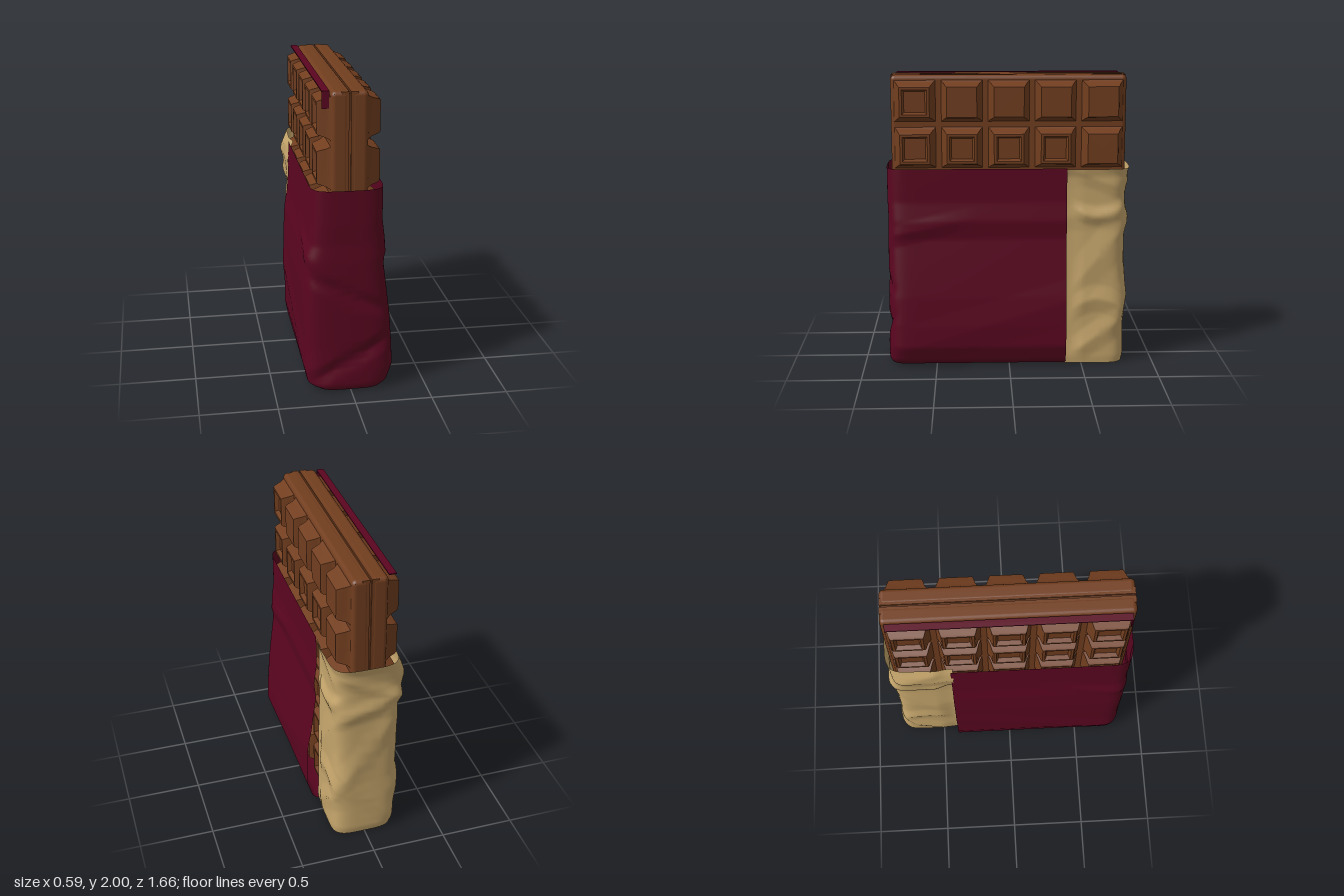
import * as THREE from 'three';
import { toCreasedNormals } from 'three/addons/utils/BufferGeometryUtils.js';
import { RoundedBoxGeometry } from 'three/addons/geometries/RoundedBoxGeometry.js';

const mat = (name, color, side = THREE.FrontSide) => {
  const m = new THREE.MeshStandardMaterial({ color, side });
  m.name = name;
  return m;
};

// Linear lookup in rows of [y, left, right, end], sorted by y
function lookup(rows, y) {
  let i = 0;
  while (i < rows.length - 2 && y > rows[i + 1][0]) i++;
  const a = rows[i], b = rows[i + 1];
  const t = THREE.MathUtils.clamp((y - a[0]) / (b[0] - a[0]), 0, 1);
  return a.map((v, k) => v + (b[k] - v) * t);
}

// A U-shaped pocket: two straight sides joined by a rounded end, closed below.
// The sides start at zStart, the curve starts at zCurve.
function pocket(rows, { zStart, zCurve, power, top, bottom, wrinkle }) {
  const nu = 96, nv = 80, side = 0.34;
  const geo = new THREE.PlaneGeometry(1, 1, nu, nv);
  const pos = geo.attributes.position, uv = geo.attributes.uv;
  for (let i = 0; i < pos.count; i++) {
    const u = uv.getX(i), row = Math.round(uv.getY(i) * nv);
    const y = bottom + (top - bottom) * Math.max(0, row - 1) / (nv - 1);
    const [, left, right, end] = lookup(rows, y);
    const mid = (left + right) / 2, half = (right - left) / 2;
    let sx, z;
    if (u < side || u > 1 - side) {
      sx = u < 0.5 ? -1 : 1;
      z = zStart + (zCurve - zStart) * Math.min(u, 1 - u) / side;
    } else {
      const a = Math.PI * (u - side) / (1 - 2 * side);
      const c = -Math.cos(a);
      sx = Math.sign(c) * Math.abs(c) ** power;
      z = zCurve + (end - zCurve) * Math.max(0, Math.sin(a)) ** power;
    }
    const [dx, dz] = wrinkle(sx, y, z);
    const x = row === 0 ? 0 : mid + sx * (half + dx);
    pos.setXYZ(i, x, y, z + dz);
  }
  return toCreasedNormals(geo, 0.7);
}

// Sharp-edged fold centred on zero
const fold = (d, width) => Math.max(0, 1 - Math.abs(d) / width);

export function createModel() {
  const group = new THREE.Group();
  const chocolate = mat('chocolate', 0x723e1f);
  const paper = mat('maroon paper', 0x5b0520, THREE.DoubleSide);
  const foil = mat('gold foil', 0xc6a66c, THREE.DoubleSide);

  const add = (name, geo, material, parent = group) => {
    const mesh = new THREE.Mesh(geo, material);
    mesh.name = name;
    parent.add(mesh);
    return mesh;
  };

  // Chocolate bar: two slabs, squared off along the thin seam between them
  const bar = new THREE.Group();
  bar.name = 'chocolateBar';
  bar.position.x = -0.01;
  group.add(bar);
  for (const s of [-1, 1]) {
    const slab = add('slab', new RoundedBoxGeometry(0.112, 1.95, 1.585, 3, 0.03), chocolate, bar);
    slab.position.set(s * 0.061, 1.022, 0);
    const seamEdge = add('seamEdge', new THREE.BoxGeometry(0.046, 1.946, 1.581), chocolate, bar);
    seamEdge.position.set(s * 0.029, 1.022, 0);
  }
  add('core', new THREE.BoxGeometry(0.02, 1.92, 1.56), chocolate, bar).position.y = 1.022;

  // Square pieces: four-sided lathes, with or without a sunken panel
  const pieceGeometry = (profile) => {
    const pts = profile.map(([h, d]) => new THREE.Vector2(h * Math.SQRT2, d));
    const geo = new THREE.LatheGeometry(pts, 4, Math.PI / 4);
    return toCreasedNormals(geo, 0.65).rotateZ(-Math.PI / 2);
  };
  const slope = [[0.158, 0.098], [0.146, 0.108], [0.133, 0.123], [0.122, 0.143], [0.108, 0.188], [0.1, 0.2]];
  const sunken = pieceGeometry([...slope, [0.083, 0.2], [0.07, 0.172], [0, 0.172]]);
  const plain = pieceGeometry([...slope, [0, 0.2]]);
  for (const s of [-1, 1]) {
    for (let r = 0; r < 6; r++) {
      for (let c = 0; c < 5; c++) {
        const isPlain = s > 0 && ((r === 0 && c > 0) || (r === 1 && c === 4));
        const piece = add('piece', isPlain ? plain : sunken, chocolate, bar);
        piece.position.set(0, 1.825 - r * 0.315, 0.63 - c * 0.315);
        if (s < 0) piece.rotation.y = Math.PI;
      }
    }
  }

  // Paper sleeve, open at the top and back
  const sleeveRows = [
    [0.01, -0.21, 0.21, 0.82], [0.04, -0.27, 0.25, 0.835], [0.15, -0.29, 0.285, 0.835],
    [0.3, -0.29, 0.285, 0.83], [0.5, -0.295, 0.27, 0.83], [0.7, -0.295, 0.245, 0.83],
    [0.9, -0.285, 0.22, 0.83], [1.02, -0.265, 0.232, 0.825], [1.15, -0.255, 0.215, 0.83],
    [1.38, -0.25, 0.215, 0.83],
  ];
  add('paperSleeve', pocket(sleeveRows, {
    zStart: -0.39, zCurve: 0.64, power: 0.5, top: 1.38, bottom: 0.012,
    wrinkle: (sx, y, z) => {
      const near = THREE.MathUtils.smoothstep(z, 0.1, 0.75);
      const crease = fold(y - 0.92 - (0.8 - z) * 0.22, 0.08) * near * 0.014
        + fold(y - 0.2 - (0.5 - z) * 0.3, 0.16) * 0.008;
      const endFold = fold(y - 0.68 + sx * 0.14, 0.07) * 0.02
        + fold(y - 0.22 - sx * 0.16, 0.08) * 0.022;
      return [crease, z > 0.7 ? -endFold * (1 - Math.abs(sx) ** 4) : 0];
    },
  }), paper);

  // Crumpled foil around the back of the bar
  const foilRows = [
    [0, -0.21, 0.21, -0.795], [0.05, -0.225, 0.215, -0.805], [0.2, -0.235, 0.21, -0.802],
    [0.45, -0.235, 0.21, -0.8], [0.7, -0.24, 0.205, -0.799], [0.95, -0.225, 0.198, -0.799],
    [1.04, -0.225, 0.205, -0.812], [1.12, -0.25, 0.2, -0.8], [1.24, -0.268, 0.2, -0.799],
    [1.32, -0.25, 0.203, -0.81], [1.38, -0.225, 0.222, -0.826],
  ];
  add('foilWrap', pocket(foilRows, {
    zStart: -0.375, zCurve: -0.62, power: 0.5, top: 1.375, bottom: 0.003,
    wrinkle: (sx, y, z) => {
      const out = THREE.MathUtils.smoothstep(-z, 0.4, 0.52);
      const d = -z - 0.6;
      const bumps = fold(y - 1.05 - d * d * 2, 0.07) * 0.9
        + fold(y - 1.3 + d * 0.4, 0.08) * 0.5
        + fold(y - 0.47 + d * d * 3, 0.1) * 0.8
        + fold(y - 0.2 - d * 0.7, 0.12) * 0.8
        + fold(y - 0.75 - d * 1.2, 0.2) * 0.6;
      const back = fold(y - 1.05 + sx * 0.1, 0.08) + fold(y - 0.3 - sx * 0.25, 0.14)
        + fold(y - 0.7 + sx * 0.3, 0.16) + fold(y - 1.2 - sx * 0.12, 0.07);
      const keep = THREE.MathUtils.smoothstep(y, 0, 0.12);
      return [out * bumps * 0.024 * keep - (1 - out) * 0.008, z < -0.68 ? -back * 0.014 * keep : 0];
    },
  }), foil);

  // Tear strip along the top edge, with its end hanging down at the front
  const strip = new THREE.Group();
  strip.name = 'tearStrip';
  group.add(strip);
  add('stripBand', new THREE.BoxGeometry(0.048, 0.008, 1.52), paper, strip).position.set(-0.157, 1.994, 0);
  add('stripTab', new THREE.BoxGeometry(0.048, 0.11, 0.008), paper, strip).position.set(-0.157, 1.943, 0.758);

  return group;
}
